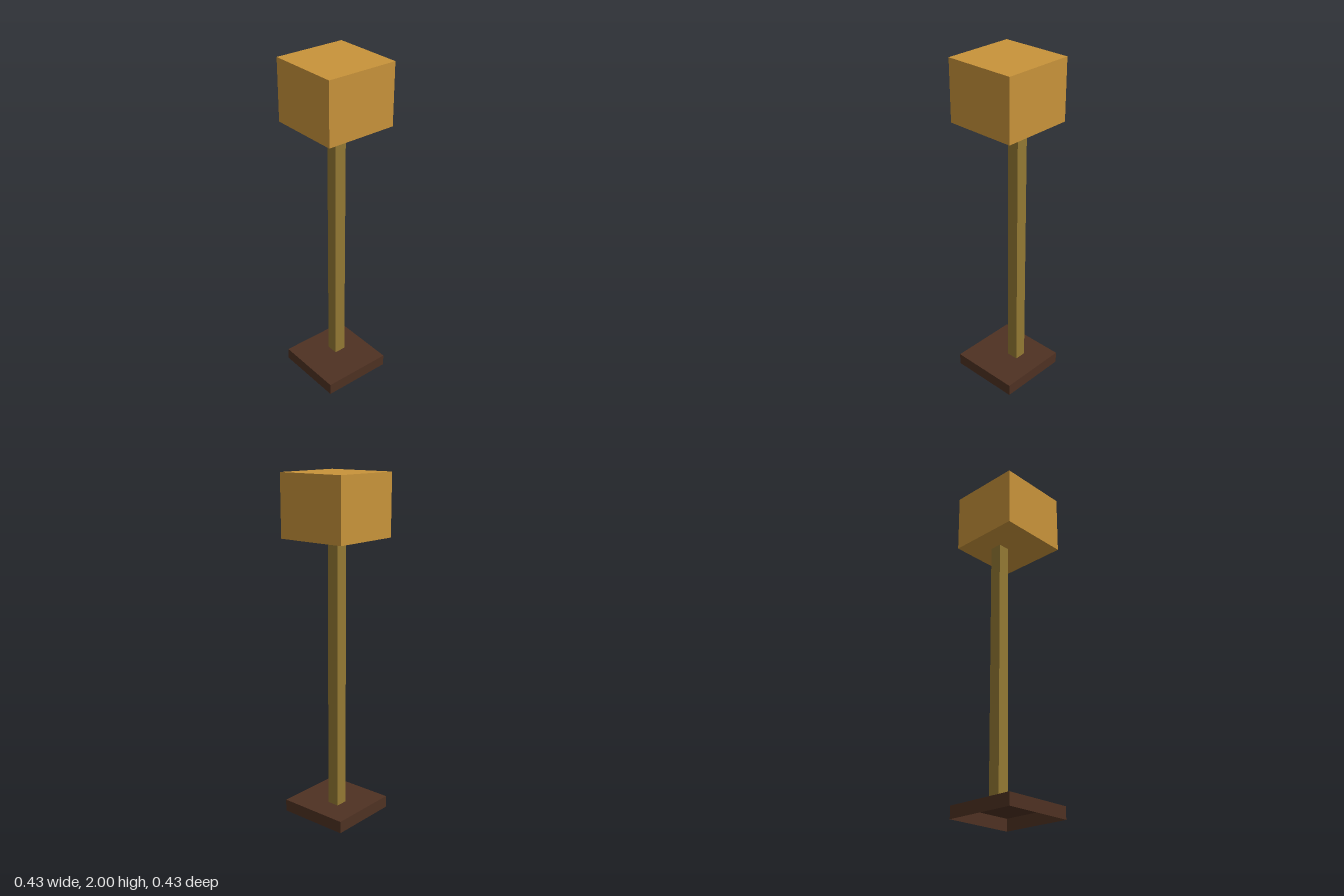
import * as THREE from 'three';

const U = 1 / 14; // block unit: the lamp is 28 units tall

function material(name, color) {
  const m = new THREE.MeshStandardMaterial({ color });
  m.name = name;
  return m;
}

// Box given by its lowest corner and its size, both in units
function block(name, mat, [x, y, z], [w, h, d]) {
  const geometry = new THREE.BoxGeometry(w * U, h * U, d * U);
  const mesh = new THREE.Mesh(geometry, mat);
  mesh.name = name;
  mesh.position.set((x + w / 2) * U, (y + h / 2) * U, (z + d / 2) * U);
  return mesh;
}

export function createModel() {
  const shadeAmber = material('shadeAmber', 0xc8933a);
  const postOlive = material('postOlive', 0x937833);
  const baseBrown = material('baseBrown', 0x4e3122);
  baseBrown.side = THREE.DoubleSide;

  const lamp = new THREE.Group();
  lamp.name = 'floorLamp';

  // Base: hollow tray, open underneath (the bottom face is left out)
  const base = block('base', baseBrown, [-3, 0, -3], [6, 1, 6]);
  const index = Array.from(base.geometry.index.array);
  index.splice(18, 6);
  base.geometry.setIndex(index);
  base.geometry.clearGroups();

  // Post: one unit thick, standing off centre to the back left
  const post = block('post', postOlive, [0, 1, -1], [1, 22, 1]);

  // Shade: closed block on top
  const shade = block('shade', shadeAmber, [-3, 23, -3], [6, 5, 6]);

  lamp.add(base, post, shade);
  return lamp;
}
